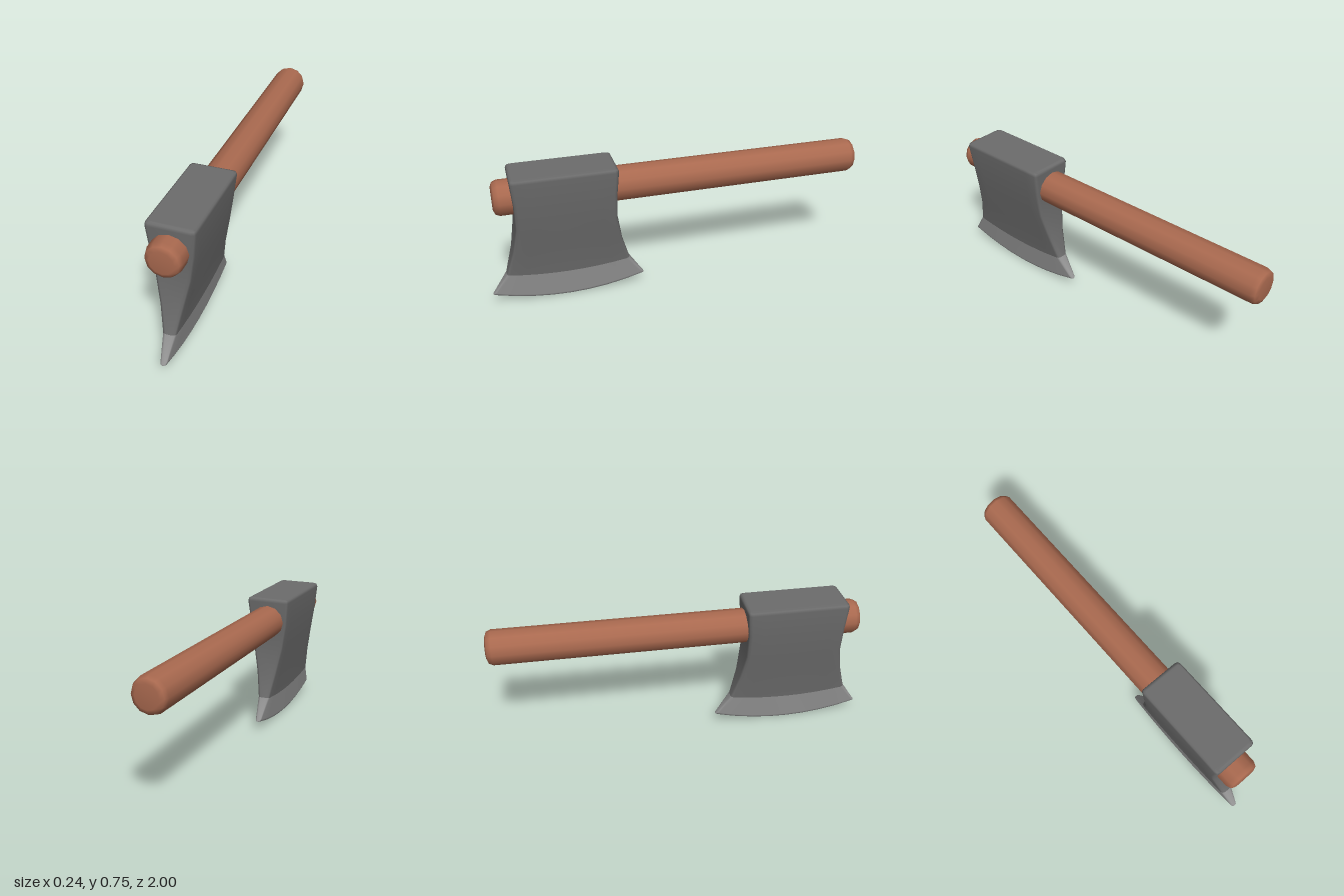
import * as THREE from 'three';

const steel = new THREE.MeshStandardMaterial({ color: 0x6c6c6c });
steel.name = 'dark steel';
const edgeSteel = new THREE.MeshStandardMaterial({ color: 0x959595 });
edgeSteel.name = 'ground steel';
const wood = new THREE.MeshStandardMaterial({ color: 0xa9694f });
wood.name = 'brown wood';

// Head cross-sections, top to bottom: y at the ends, half width, half length, middle sag, x centre
const rows = [
  [0.747, 0.108, 0.254, 0, -0.001],
  [0.742, 0.117, 0.265, 0, -0.001],
  [0.728, 0.121, 0.269, 0, -0.001],
  [0.60, 0.108, 0.260, 0, -0.003],
  [0.46, 0.087, 0.260, 0, -0.003],
  [0.32, 0.059, 0.285, 0.008, -0.005],
  [0.18, 0.034, 0.326, 0.026, -0.006],
  [0.073, 0.018, 0.398, 0.058, -0.006],
  [0.063, 0.014, 0.406, 0.060, -0.006],
  [0.060, 0.007, 0.407, 0.060, -0.006],
];
const firstEdgeRow = 6;
const headZ = 0.595;

// One side of a ring, front to back, with rounded corners
function halfRing(w, h) {
  const b = Math.min(0.018, w * 0.6);
  const corner = [[w - b, h], [w - 0.3 * b, h - 0.3 * b]];
  const side = [];
  for (let i = 0; i <= 8; i++) side.push([w, (h - b) * (1 - i / 4)]);
  return [...corner, ...side, ...corner.map(([x, z]) => [x, -z]).reverse()];
}

function createHead() {
  const positions = [];
  const index = [];
  let n = 0;
  for (const [y, w, h, sag, cx] of rows) {
    const half = halfRing(w, h);
    n = half.length;
    const ring = [...half, ...half.map(([x, z]) => [-x, z]).reverse()];
    for (const [x, z] of ring) {
      positions.push(x + cx, y - sag * (1 - (z / h) ** 2), z + headZ);
    }
  }
  const m = 2 * n;
  const quad = (a, b, c, d) => index.push(a, b, c, a, c, d);

  // Top cap
  for (let i = 0; i < n - 1; i++) quad(i, i + 1, m - 2 - i, m - 1 - i);
  // Walls
  let split = 0;
  for (let r = 0; r < rows.length - 1; r++) {
    if (r === firstEdgeRow) split = index.length;
    for (let i = 0; i < m; i++) {
      const j = (i + 1) % m;
      quad(r * m + i, (r + 1) * m + i, (r + 1) * m + j, r * m + j);
    }
  }
  // Curved underside of the cutting edge
  const o = (rows.length - 1) * m;
  for (let i = 0; i < n - 1; i++) quad(o + m - 1 - i, o + m - 2 - i, o + i + 1, o + i);

  const geo = new THREE.BufferGeometry();
  geo.setAttribute('position', new THREE.Float32BufferAttribute(positions, 3));
  geo.setIndex(index);
  geo.addGroup(0, split, 0);
  geo.addGroup(split, index.length - split, 1);
  geo.computeVertexNormals();
  const mesh = new THREE.Mesh(geo, [steel, edgeSteel]);
  mesh.name = 'axeHead';
  return mesh;
}

function createHandle() {
  // Twelve-sided shaft with rounded ends
  const r = 0.091, len = 1.95;
  const end = [[0, 0], [r - 0.032, 0], [r - 0.010, 0.009], [r, 0.032]];
  const profile = [...end, ...end.map(([x, y]) => [x, len - y]).reverse()];
  const geo = new THREE.LatheGeometry(profile.map(([x, y]) => new THREE.Vector2(x, y)), 12);
  geo.rotateX(Math.PI / 2);
  const mesh = new THREE.Mesh(geo, wood);
  mesh.position.set(-0.004, 0.617, -1);
  mesh.name = 'handle';
  return mesh;
}

export function createModel() {
  const group = new THREE.Group();
  group.name = 'axe';
  group.add(createHead(), createHandle());
  return group;
}
